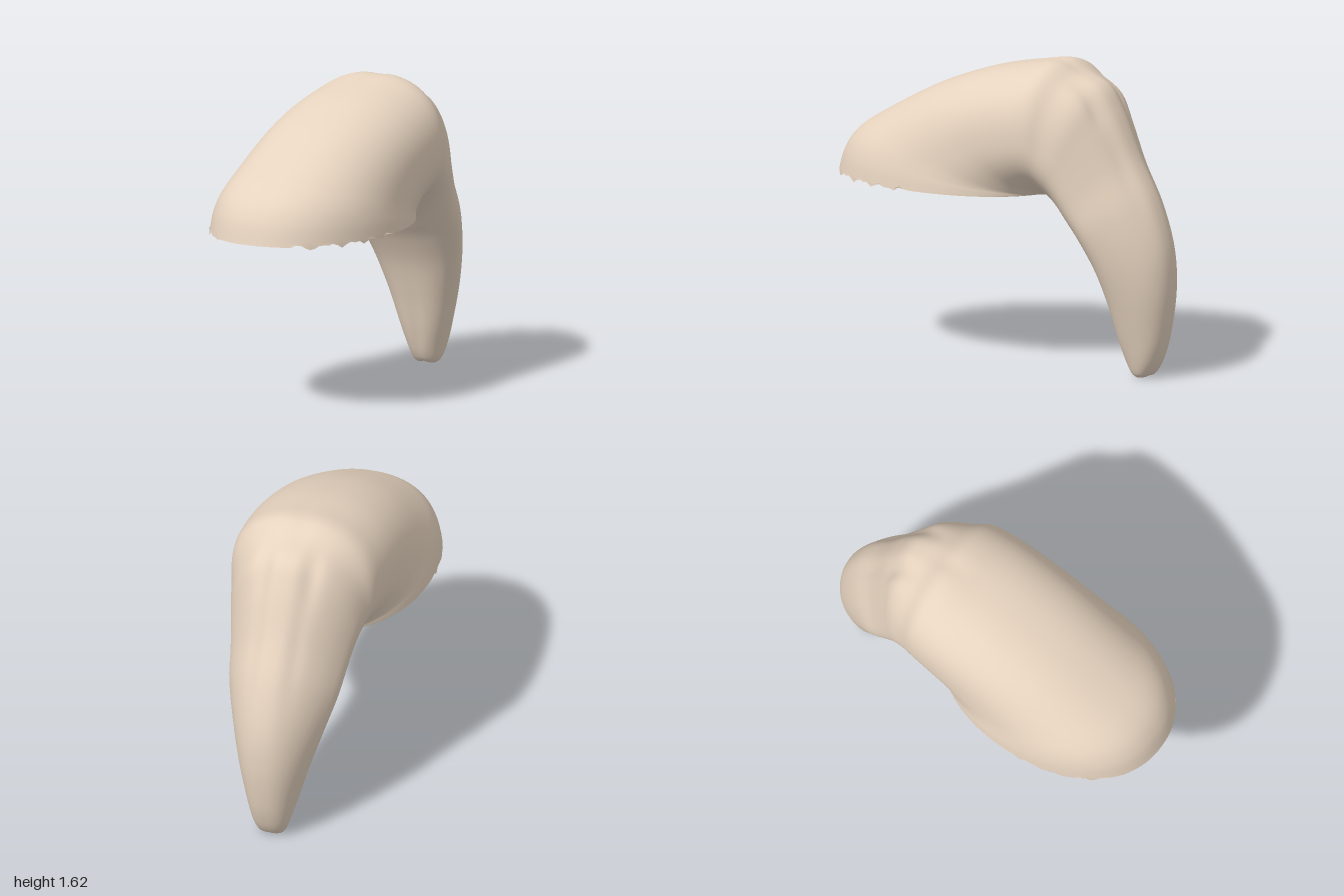
import * as THREE from 'three';

// Stations: [outer z, outer y, inner z, inner y, half width, taper to outer side, inner pinch]
const STATIONS = [
  [1.0, 0.94, -0.3, 0.93, 0.475, 0, 0],
  [0.96, 1.06, -0.3, 0.928, 0.467, 0, 0],
  [0.88, 1.165, -0.302, 0.925, 0.455, 0, 0.04],
  [0.72, 1.27, -0.305, 0.922, 0.442, 0, 0.1],
  [0.4, 1.44, -0.31, 0.92, 0.428, 0, 0.25],
  [0.1, 1.55, -0.32, 0.917, 0.42, 0, 0.4],
  [-0.15, 1.605, -0.33, 0.91, 0.41, 0, 0.5],
  [-0.32, 1.628, -0.345, 0.9, 0.395, 0.03, 0.5],
  [-0.44, 1.575, -0.365, 0.888, 0.37, 0.12, 0.45],
  [-0.58, 1.52, -0.39, 0.87, 0.35, 0.24, 0.4],
  [-0.67, 1.39, -0.425, 0.84, 0.332, 0.34, 0.35],
  [-0.78, 1.16, -0.47, 0.785, 0.313, 0.4, 0.35],
  [-0.9, 0.94, -0.53, 0.7, 0.292, 0.4, 0.35],
  [-0.98, 0.7, -0.602, 0.555, 0.243, 0.33, 0.3],
  [-0.997, 0.47, -0.655, 0.38, 0.188, 0.2, 0.25],
  [-0.97, 0.24, -0.703, 0.19, 0.133, 0.1, 0.15],
  [-0.93, 0.1, -0.738, 0.085, 0.1, 0, 0.05],
  [-0.888, 0.025, -0.77, 0.025, 0.076, 0, 0],
  [-0.857, 0.003, -0.795, 0.003, 0.055, 0, 0],
];

// Catmull-Rom blend of all station values at u in 0..1
function station(u) {
  const last = STATIONS.length - 1;
  const i = Math.min(Math.floor(u * last), last - 1);
  const f = u * last - i;
  const at = (k) => STATIONS[Math.max(0, Math.min(last, k))];
  return STATIONS[0].map((_, k) => {
    const [a, b, c, d] = [at(i - 1)[k], at(i)[k], at(i + 1)[k], at(i + 2)[k]];
    return b + 0.5 * f * (c - a + f * (2 * a - 5 * b + 4 * c - d + f * (3 * (b - c) + d - a)));
  });
}

const bump = (v, centre, width) => Math.exp(-(((v - centre) / width) ** 2));
const soft = (v, n) => Math.sign(v) * Math.abs(v) ** (2 / n);

function bentShell(rings, sides) {
  const pos = [], index = [];
  for (let r = 0; r <= rings; r++) {
    const u = r / rings;
    const [oz, oy, iz, iy, w, taper, pinch] = station(u);
    const n = 2.15 + 0.15 * Math.min(1, u * 4);
    for (let s = 0; s < sides; s++) {
      const a = (s / sides) * Math.PI * 2;
      const c = soft(Math.cos(a), n), sn = soft(Math.sin(a), n);
      const inner = Math.max(0, -Math.cos(a));
      let x = w * sn * (1 - taper * c) / (1 + taper * taper * 0.5);
      // concave crease where the sides meet the underside
      x *= 1 - pinch * 0.55 * inner ** 3;
      let depth = (c + 1) / 2;
      // knuckle dents and long ridges on the back, shallow groove under the tail
      const side = Math.abs(x);
      if (c > 0) {
        depth -= 0.045 * bump(side, 0.13, 0.05) * bump(u, 0.52, 0.05);
        depth -= 0.01 * bump(side, 0, 0.05) * bump(u, 0.4, 0.04);
        depth -= 0.02 * bump(side, 0.11, 0.04) * bump(u, 0.62, 0.06);
      } else {
        depth += 0.04 * bump(side / w, 0, 0.3) * bump(u, 0.86, 0.08);
      }
      let y = iy + (oy - iy) * depth;
      const z = iz + (oz - iz) * depth;
      // ragged lower rim along both sides
      if (r === 0 && z > 0.38 && z < 0.93) {
        y += 0.009 * Math.sin(z * 47 + x * 5) + 0.007 * Math.sin(z * 83 + 1);
      }
      // small notch in the tip
      y += 0.006 * bump(x, 0, 0.02) * Math.max(0, (u - 0.94) / 0.06);
      pos.push(x, y, z);
    }
  }
  for (let r = 0; r < rings; r++) {
    for (let s = 0; s < sides; s++) {
      const t = (s + 1) % sides;
      const a = r * sides + s, b = r * sides + t, c = a + sides, d = b + sides;
      index.push(a, b, c, b, d, c);
    }
  }
  // closed tip
  const tip = pos.length / 3, base = rings * sides;
  pos.push(0, 0.006, -0.826);
  for (let s = 0; s < sides; s++) index.push(base + s, base + ((s + 1) % sides), tip);

  const geo = new THREE.BufferGeometry();
  geo.setAttribute('position', new THREE.Float32BufferAttribute(pos, 3));
  geo.setIndex(index);
  geo.computeVertexNormals();
  return geo;
}

export function createModel() {
  const group = new THREE.Group();
  group.name = 'bentShellModel';
  const material = new THREE.MeshStandardMaterial({ color: 0xe6d3bf, side: THREE.DoubleSide });
  const shell = new THREE.Mesh(bentShell(126, 128), material);
  shell.name = 'bentShellWithTail';
  group.add(shell);
  return group;
}
